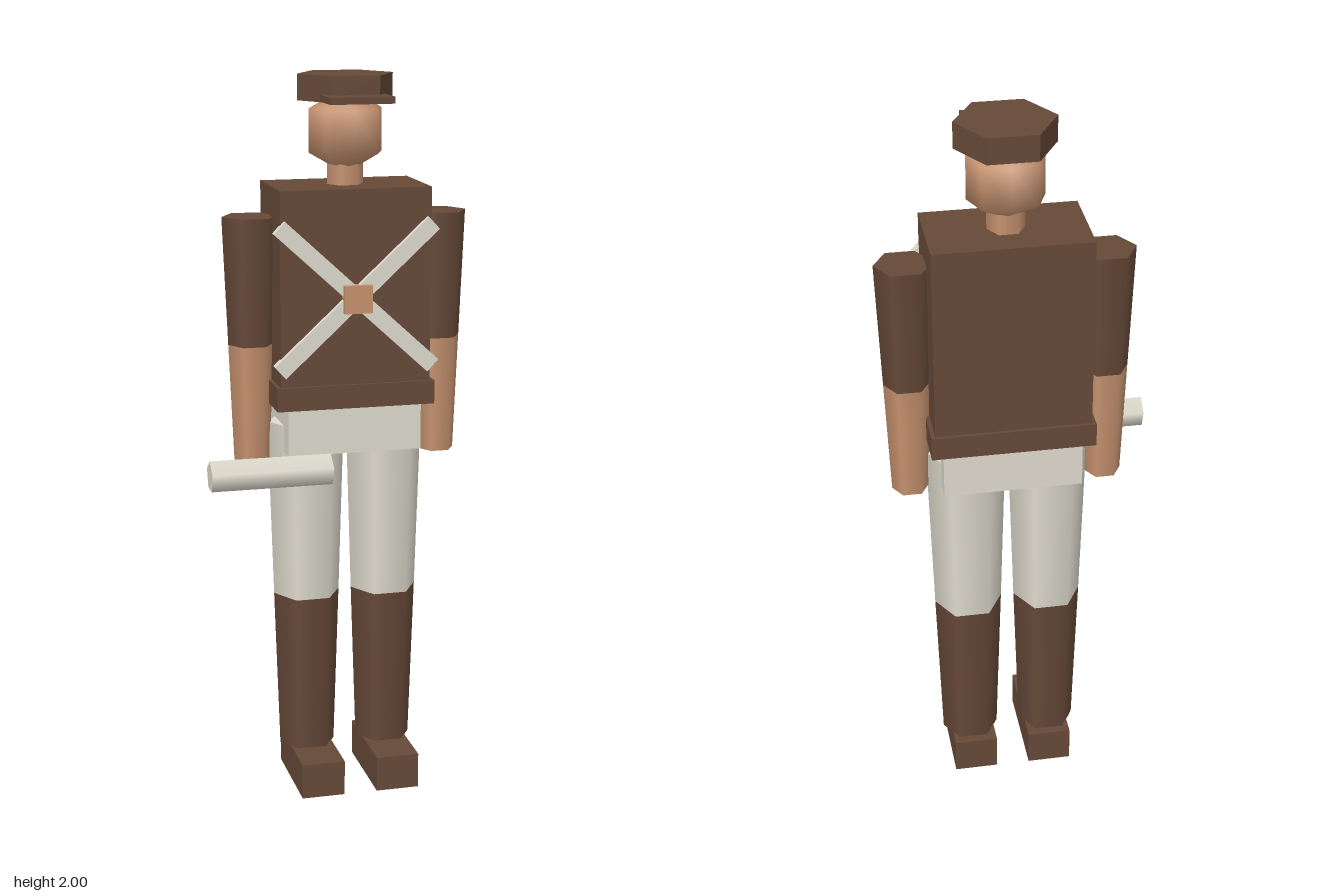
import * as THREE from 'three';

const CX = 0.043, CZ = -0.078; // body axis

function material(name, color) {
  const m = new THREE.MeshStandardMaterial({ color });
  m.name = name;
  return m;
}

export function createModel() {
  const group = new THREE.Group();
  const brown = material('brown cloth', 0x664938);
  const white = material('off-white cloth', 0xdfdbce);
  const skin = material('skin', 0xc6926f);

  function add(name, geometry, mat, x, y, z) {
    const mesh = new THREE.Mesh(geometry, mat);
    mesh.name = name;
    mesh.position.set(x, y, z);
    group.add(mesh);
    return mesh;
  }

  // Box centred on x, given its vertical and depth limits
  function box(name, mat, x, width, y0, y1, z0, z1) {
    const g = new THREE.BoxGeometry(width, y1 - y0, z1 - z0);
    return add(name, g, mat, x, (y0 + y1) / 2, (z0 + z1) / 2);
  }

  // Tapered six-sided limb section with corners towards the sides
  function limb(name, mat, x, y0, y1, r0, r1) {
    const g = new THREE.CylinderGeometry(r1, r0, y1 - y0, 6, 1, false, Math.PI / 2);
    return add(name, g, mat, x, (y0 + y1) / 2, CZ);
  }

  // Torso, belt and hips
  box('torso', brown, CX, 0.418, 1.17, 1.705, -0.2, 0.044);
  box('belt', brown, CX, 0.44, 1.11, 1.175, -0.209, 0.054);
  box('hips', white, CX, 0.374, 0.98, 1.112, -0.19, 0.036);

  // Arms and legs
  for (const [side, s] of [['left', 1], ['right', -1]]) {
    const armX = CX + s * 0.265, legX = CX + s * 0.112;
    limb(side + 'Sleeve', brown, armX, 1.275, 1.625, 0.063, 0.077);
    limb(side + 'Forearm', skin, armX, 0.95, 1.275, 0.05, 0.063);
    limb(side + 'Thigh', white, legX, 0.552, 1.053, 0.094, 0.109);
    limb(side + 'Boot', brown, legX, 0.095, 0.552, 0.079, 0.094);
    box(side + 'Foot', brown, CX + s * 0.108, 0.122, 0, 0.1, -0.172, 0.11);
  }

  // Crossed chest straps and buckle
  for (const s of [1, -1]) {
    const strap = box('chestStrap', white, CX, 0.578, 1.3915, 1.4365, 0.036, 0.06);
    strap.rotation.z = s * 0.743;
  }
  box('buckle', skin, CX, 0.078, 1.374, 1.45, 0.04, 0.074);

  // Neck and head
  limb('neck', skin, CX, 1.69, 1.79, 0.05, 0.05);
  const head = add('head', new THREE.SphereGeometry(0.117, 8, 3), skin, CX, 1.849, CZ);
  head.scale.z = 1.04;

  // Faceted cap with a flat brim
  const cap = limb('cap', brown, CX, 1.93, 2, 0.132, 0.132);
  cap.geometry = cap.geometry.toNonIndexed();
  cap.geometry.computeVertexNormals();
  box('capBrim', brown, CX, 0.175, 1.932, 1.95, -0.04, 0.11);

  // Five-sided roll held out in front of the right hand
  const roll = new THREE.CylinderGeometry(0.043, 0.043, 0.328, 5, 1, false, Math.PI / 2);
  roll.rotateZ(Math.PI / 2);
  add('roll', roll, white, -0.222, 0.974, 0.165);

  return group;
}
